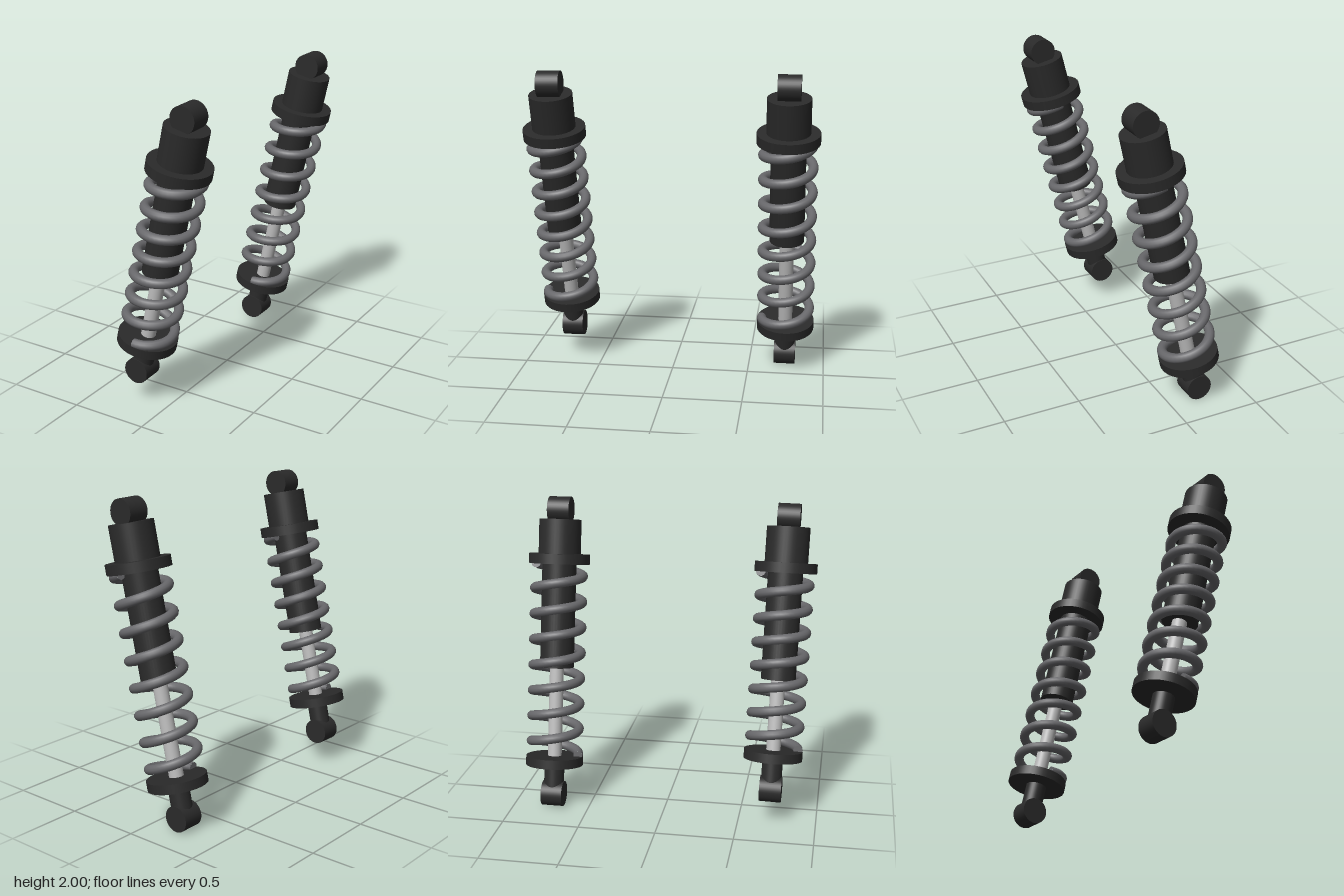
import * as THREE from 'three';

const mat = (name, color) => {
  const m = new THREE.MeshStandardMaterial({ color });
  m.name = name;
  return m;
};

// Right-handed helix around y, starting on the +z side
class Helix extends THREE.Curve {
  constructor(radius, y0, y1, turns) {
    super();
    Object.assign(this, { radius, y0, y1, turns });
  }
  getPoint(t, target = new THREE.Vector3()) {
    const a = t * this.turns * Math.PI * 2;
    return target.set(
      Math.sin(a) * this.radius,
      THREE.MathUtils.lerp(this.y0, this.y1, t),
      Math.cos(a) * this.radius
    );
  }
}

export function createModel() {
  const black = mat('black', 0x2a2a2a);
  const springGrey = mat('springGrey', 0x68686b);
  const steel = mat('steel', 0xbcbcbc);

  function add(group, name, geometry, material) {
    const mesh = new THREE.Mesh(geometry, material);
    mesh.name = name;
    group.add(mesh);
    return mesh;
  }

  // Upright cylinder between two heights
  function post(group, name, radius, y0, y1, material) {
    const mesh = add(group, name, new THREE.CylinderGeometry(radius, radius, y1 - y0, 40), material);
    mesh.position.y = (y0 + y1) / 2;
  }

  // Mounting eye, a short cylinder lying along z
  function eye(group, name, y, width) {
    const geometry = new THREE.CylinderGeometry(0.083, 0.083, width, 40).rotateX(Math.PI / 2);
    add(group, name, geometry, black).position.y = y;
  }

  // One shock absorber from the lower eye centre to the upper eye centre
  function shock(name, bottom, top) {
    const g = new THREE.Group();
    g.name = name;
    const axis = top.clone().sub(bottom);
    const L = axis.length();

    eye(g, 'lowerEye', 0, 0.14);
    post(g, 'lowerStem', 0.066, 0, 0.2, black);
    post(g, 'lowerSpringSeat', 0.188, 0.195, 0.255, black);
    post(g, 'pistonRod', 0.046, 0.25, L - 0.9, steel);
    post(g, 'damperBody', 0.111, L - 1.03, L - 0.34, black);
    post(g, 'upperSpringSeat', 0.198, L - 0.352, L - 0.288, black);
    post(g, 'upperCap', 0.137, L - 0.29, L - 0.064, black);
    eye(g, 'upperEye', L, 0.143);

    // Coil spring with closed ends
    const wire = 0.031;
    const helix = new Helix(0.157, 0.262, L - 0.352, 7.5);
    add(g, 'coilSpring', new THREE.TubeGeometry(helix, 300, wire, 12), springGrey);
    for (const t of [0, 1]) {
      const end = add(g, 'springEnd', new THREE.CircleGeometry(wire, 12), springGrey);
      end.position.copy(helix.getPoint(t));
      const outward = helix.getTangent(t).multiplyScalar(t ? 1 : -1);
      end.quaternion.setFromUnitVectors(new THREE.Vector3(0, 0, 1), outward);
    }

    g.position.copy(bottom);
    g.quaternion.setFromUnitVectors(new THREE.Vector3(0, 1, 0), axis.normalize());
    return g;
  }

  const model = new THREE.Group();
  model.name = 'shockAbsorberPair';
  model.add(
    shock('frontShock', new THREE.Vector3(-0.196, 0.223, 0.704), new THREE.Vector3(0.204, 1.917, 0.742)),
    shock('rearShock', new THREE.Vector3(-0.196, 0.083, -0.738), new THREE.Vector3(0.204, 1.917, -0.738))
  );
  return model;
}
